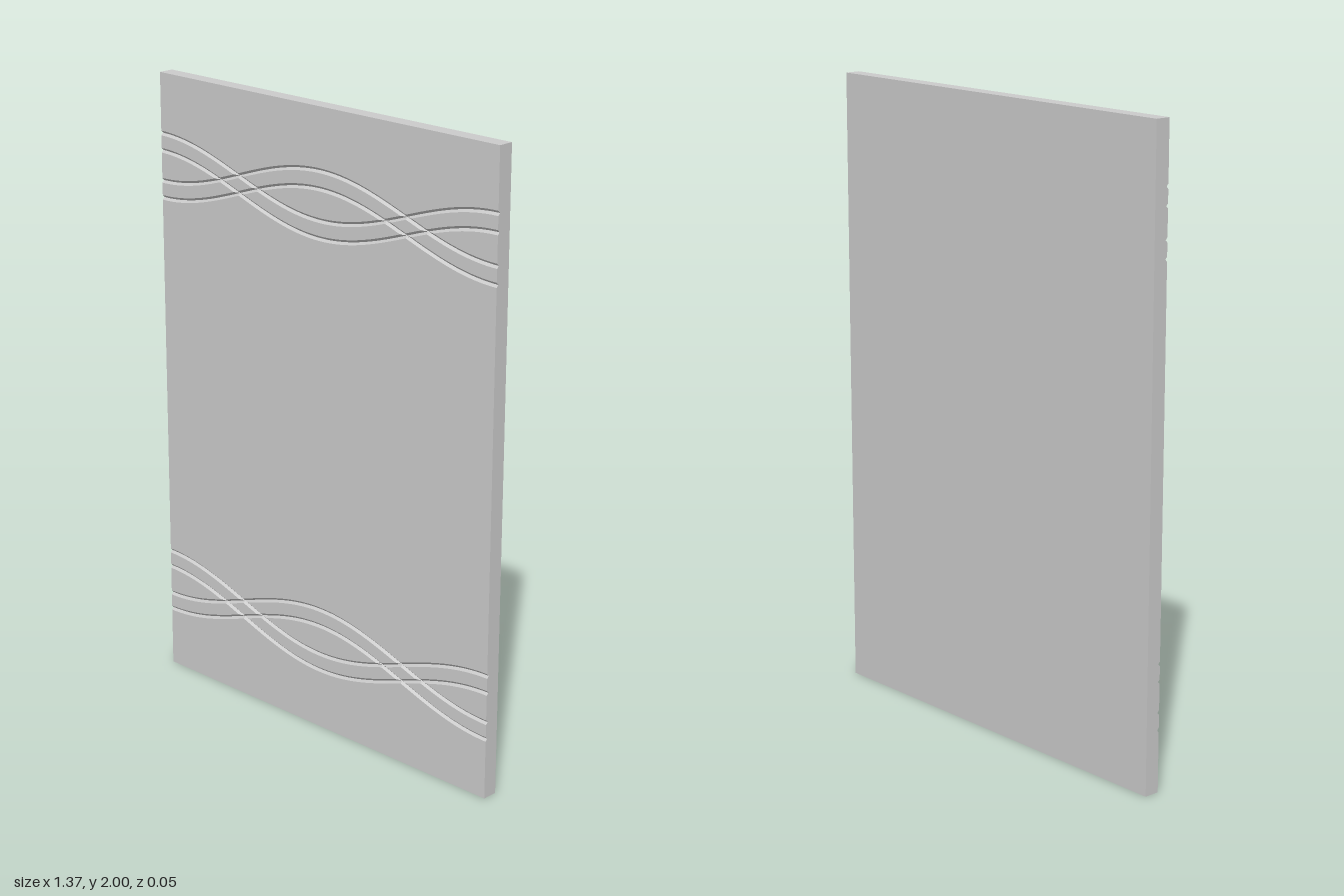
import * as THREE from 'three';

const HALF_W = 0.687, HEIGHT = 2, HALF_T = 0.025;
const BANDS = [0.3, 1.705];              // heights of the two wavy bands
const AMP = 0.0755, OFFSET = 0.0275;     // wave height and half spacing of a line pair
const GROOVE_W = 0.0075, GROOVE_D = 0.007; // half width and depth of each V groove
const COLUMNS = 240;

// Heights of the four groove centre lines of one band at x, lowest first
function grooveLines(centre, x) {
  const wave = AMP * Math.cos(Math.PI * x / HALF_W);
  return [wave + OFFSET, wave - OFFSET, -wave + OFFSET, -wave - OFFSET]
    .map(d => centre + d).sort((a, b) => a - b);
}

// Front face outline at x, from bottom to top
function frontColumn(x) {
  const lines = BANDS.flatMap(c => grooveLines(c, x));
  const heights = [0, HEIGHT];
  lines.forEach((y, i) => {
    heights.push(y - GROOVE_W, y, y + GROOVE_W);
    if (i > 0) heights.push((y + lines[i - 1]) / 2); // ridge where grooves merge
  });
  return heights.sort((a, b) => a - b).map(y => {
    const near = Math.min(...lines.map(l => Math.abs(y - l)));
    return [x, y, HALF_T - GROOVE_D * Math.max(0, 1 - near / GROOVE_W)];
  });
}

function carvedPanel() {
  const pos = [];
  const quad = (a, b, c, d) => pos.push(...a, ...b, ...c, ...a, ...c, ...d);
  const back = p => [p[0], p[1], -HALF_T];
  const cols = [];
  for (let i = 0; i <= COLUMNS; i++) cols.push(frontColumn((2 * i / COLUMNS - 1) * HALF_W));
  const top = cols[0].length - 1;
  const first = cols[0], last = cols[COLUMNS];

  // Grooved front with top and bottom edges
  for (let i = 0; i < COLUMNS; i++) {
    const l = cols[i], r = cols[i + 1];
    for (let j = 0; j < top; j++) quad(l[j], r[j], r[j + 1], l[j + 1]);
    quad(l[top], r[top], back(r[top]), back(l[top]));
    quad(back(l[0]), back(r[0]), r[0], l[0]);
  }
  // Side edges, notched where the grooves run out
  for (let j = 0; j < top; j++) {
    quad(last[j], back(last[j]), back(last[j + 1]), last[j + 1]);
    quad(back(first[j]), first[j], first[j + 1], back(first[j + 1]));
  }
  // Plain back
  quad(back(last[0]), back(first[0]), back(first[top]), back(last[top]));

  const geo = new THREE.BufferGeometry();
  geo.setAttribute('position', new THREE.Float32BufferAttribute(pos, 3));
  geo.computeVertexNormals();
  return geo;
}

export function createModel() {
  const group = new THREE.Group();
  group.name = 'decorativePanel';
  const panel = new THREE.Mesh(carvedPanel(),
    new THREE.MeshStandardMaterial({ color: 0xcccccc, flatShading: true }));
  panel.name = 'carvedPanel';
  group.add(panel);
  return group;
}
